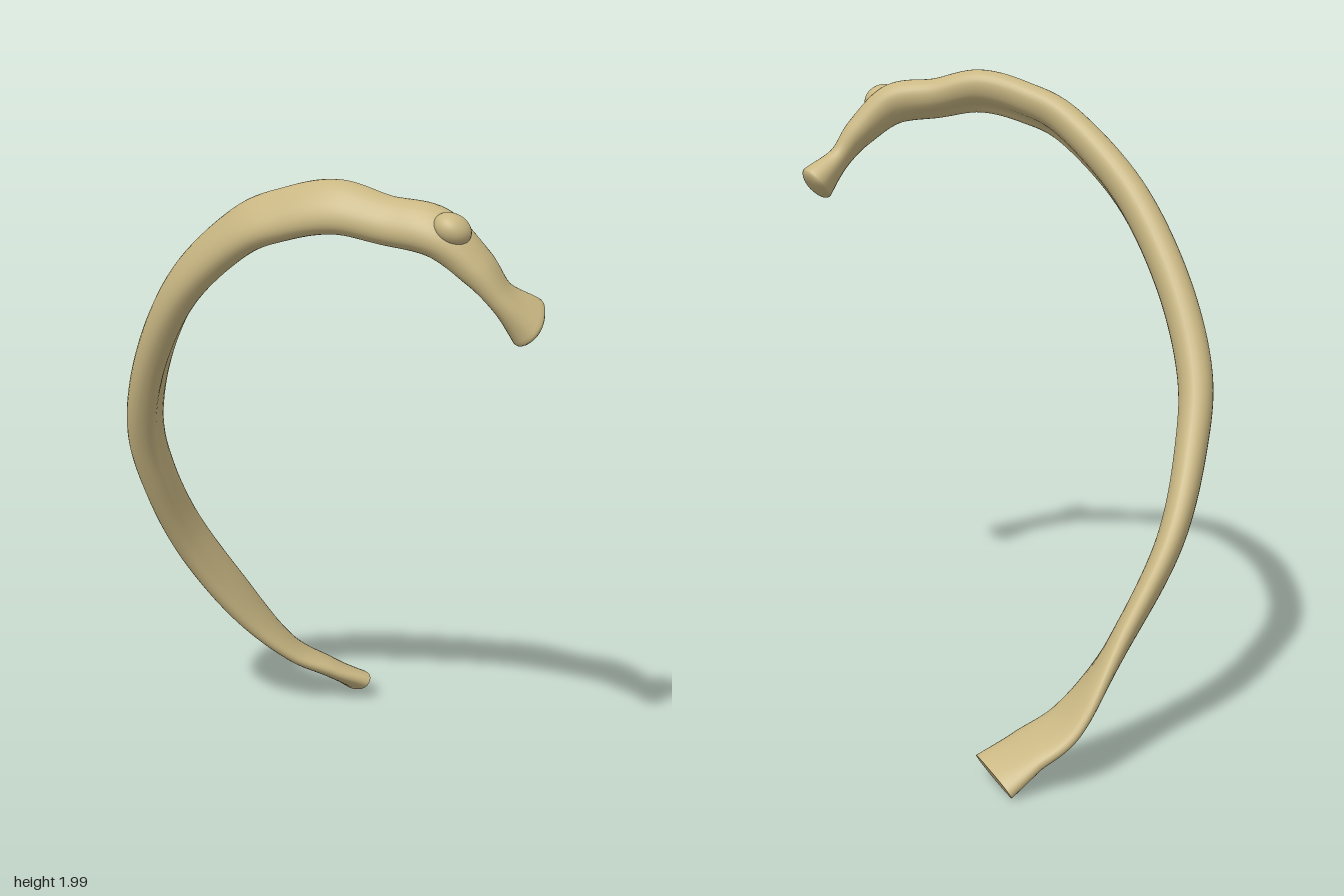
import * as THREE from 'three';

// Stations along the rib: centre, half-width vector (towards the upper edge), half-thickness, groove depth
const STATIONS = [
  [[0.035, 0.054, -0.597], [-0.03, -0.038, -0.088], 0.036, 0],
  [[-0.06, 0.115, -0.56], [-0.02, -0.022, -0.097], 0.032, 0],
  [[-0.19, 0.202, -0.515], [-0.02, -0.005, -0.105], 0.03, 0],
  [[-0.35, 0.415, -0.41], [0, 0.035, -0.09], 0.035, 0.1],
  [[-0.50, 0.68, -0.295], [0, 0.046, -0.085], 0.043, 0.15],
  [[-0.573, 0.94, -0.15], [0, 0.044, -0.075], 0.051, 0.2],
  [[-0.587, 1.15, -0.04], [0, 0.044, -0.074], 0.056, 0.2],
  [[-0.525, 1.4, 0.1], [0, 0.044, -0.074], 0.056, 0.25],
  [[-0.40, 1.645, 0.262], [0, 0.046, -0.074], 0.055, 0.3],
  [[-0.22, 1.832, 0.415], [0, 0.052, -0.066], 0.052, 0.35],
  [[-0.08, 1.9, 0.482], [0, 0.058, -0.056], 0.05, 0.35],
  [[0.06, 1.93, 0.53], [0, 0.062, -0.05], 0.05, 0.3],
  [[0.2, 1.903, 0.567], [0, 0.056, -0.042], 0.05, 0.2],
  [[0.34, 1.88, 0.605], [0.01, 0.054, -0.046], 0.053, 0],
  [[0.45, 1.79, 0.613], [0.015, 0.025, -0.06], 0.045, 0],
  [[0.52, 1.705, 0.606], [0.01, 0.01, -0.064], 0.036, 0],
  [[0.594, 1.628, 0.572], [0.02, 0.02, -0.086], 0.057, 0],
];
const RINGS = 160, SIDES = 32, DOME = 7;

// Lofts the oval cross-section along the curve, closing the head with a dome
function ribGeometry() {
  const curve = (pts) => new THREE.CatmullRomCurve3(pts, false, 'catmullrom', 0.5);
  const path = curve(STATIONS.map((s) => new THREE.Vector3(...s[0])));
  const widths = curve(STATIONS.map((s) => new THREE.Vector3(...s[1])));
  const sizes = curve(STATIONS.map((s) => new THREE.Vector3(s[2], s[3], 0)));
  const positions = [], index = [];

  const addRing = (t, scale, lift) => {
    const tangent = path.getTangent(t);
    const c = path.getPoint(t).addScaledVector(tangent, lift);
    const w = widths.getPoint(t);
    const half = w.length();
    w.addScaledVector(tangent, -w.dot(tangent)).setLength(half * scale);
    const size = sizes.getPoint(t);
    const out = new THREE.Vector3().crossVectors(tangent, w).setLength(size.x * scale);
    for (let j = 0; j < SIDES; j++) {
      const a = (j / SIDES) * Math.PI * 2;
      const u = Math.sign(Math.cos(a)) * Math.abs(Math.cos(a)) ** 0.88;
      let v = Math.sign(Math.sin(a)) * Math.abs(Math.sin(a)) ** 0.88;
      // shallow groove on the inner face, towards the lower edge
      if (v < 0) v *= 1 - size.y * Math.exp(-(((u + 0.4) / 0.35) ** 2));
      const p = c.clone().addScaledVector(w, u).addScaledVector(out, v);
      positions.push(p.x, p.y, p.z);
    }
  };

  for (let i = 0; i <= RINGS; i++) addRing(i / RINGS, 1, 0);
  for (let k = 1; k <= DOME; k++) {
    const a = (k / DOME) * Math.PI * 0.497;
    addRing(1, Math.cos(a), 0.028 * Math.sin(a));
  }
  for (let i = 0; i < RINGS + DOME; i++) {
    for (let j = 0; j < SIDES; j++) {
      const a = i * SIDES + j, b = i * SIDES + ((j + 1) % SIDES);
      index.push(a, b, a + SIDES, b, b + SIDES, a + SIDES);
    }
  }

  // flat cut at the lower end, with its own vertices for a crisp edge
  const start = positions.length / 3;
  positions.push(...positions.slice(0, SIDES * 3), ...STATIONS[0][0]);
  for (let j = 0; j < SIDES; j++) index.push(start + SIDES, start + ((j + 1) % SIDES), start + j);

  const g = new THREE.BufferGeometry();
  g.setAttribute('position', new THREE.Float32BufferAttribute(positions, 3));
  g.setIndex(index);
  g.computeVertexNormals();
  return g;
}

export function createModel() {
  const bone = new THREE.MeshStandardMaterial({ color: 0xc9b783 });
  bone.name = 'bone';
  const group = new THREE.Group();
  group.name = 'rib';

  const shaft = new THREE.Mesh(ribGeometry(), bone);
  shaft.name = 'ribShaft';
  group.add(shaft);

  // rounded knob where the shaft meets the neck
  const knob = new THREE.Mesh(new THREE.SphereGeometry(1, 32, 20), bone);
  knob.name = 'tubercle';
  knob.scale.set(0.055, 0.042, 0.05);
  knob.position.set(0.385, 1.895, 0.635);
  knob.rotation.z = -0.5;
  group.add(knob);

  return group;
}
